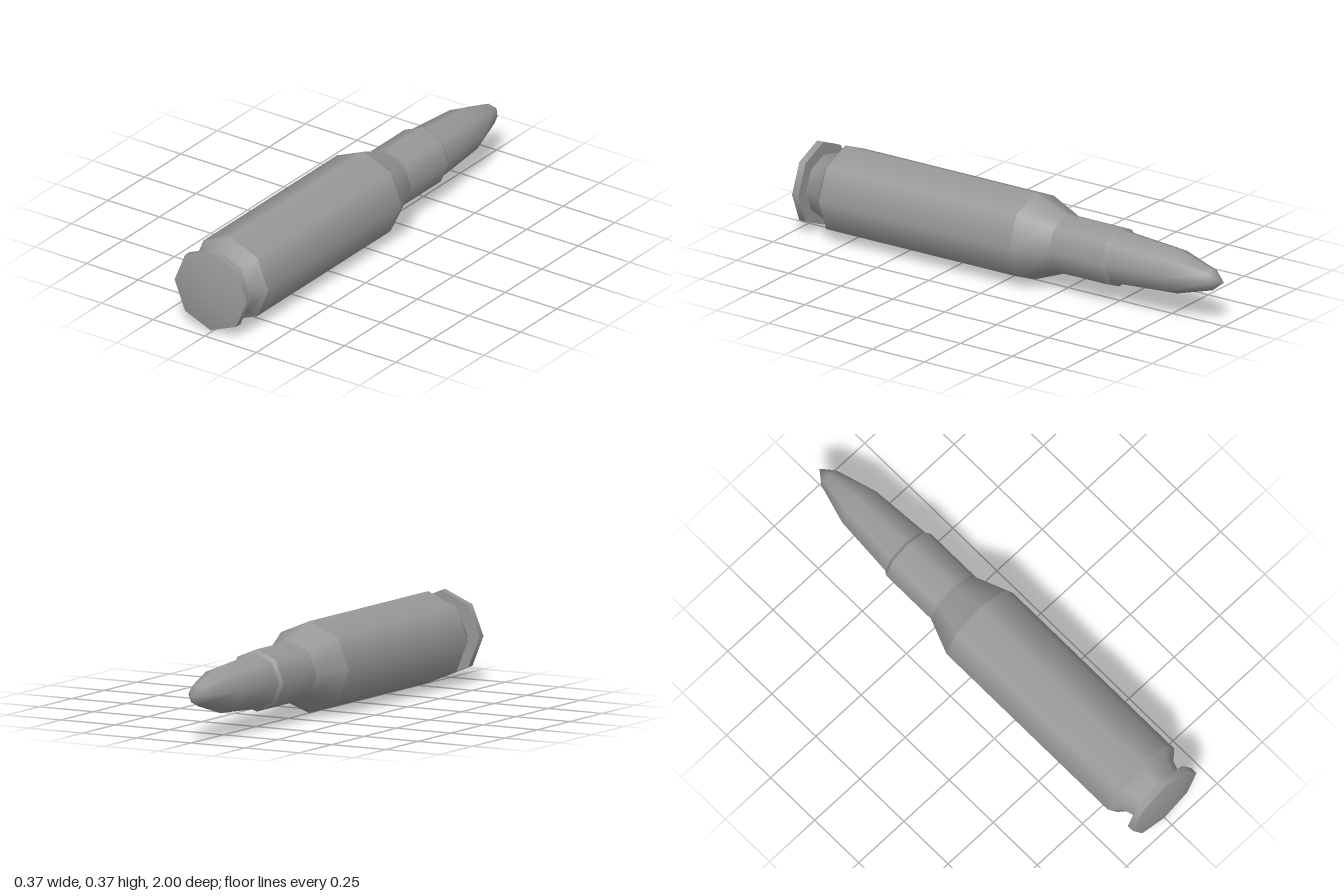
import * as THREE from 'three';

const SIDES = 8;
const RADIUS = 0.184;

// Eight-sided lathe lying along z; points on the axis get one shared normal
// so the pointed ends shade smoothly.
function lathe(band) {
  const profile = band.map(([r, z]) => new THREE.Vector2(r, -z));
  const geometry = new THREE.LatheGeometry(profile, SIDES);
  geometry.rotateX(-Math.PI / 2);
  const { position, normal } = geometry.attributes;
  for (let i = 0; i < position.count; i++) {
    if (Math.hypot(position.getX(i), position.getY(i)) < 1e-6) {
      normal.setXYZ(i, 0, 0, Math.sign(position.getZ(i)));
    }
  }
  return geometry;
}

export function createModel() {
  const group = new THREE.Group();
  const material = new THREE.MeshStandardMaterial({ color: 0x999999 });

  // Each part is a list of bands; a band is a run of [radius, z] points from
  // front to back, smooth within itself and sharp against its neighbours.
  const parts = {
    rim: [
      [[0, 1], [0.175, 0.96]],
      [[0.175, 0.96], [0.175, 0.93]],
      [[0.175, 0.93], [0.12, 0.93]],
    ],
    extractorGroove: [[[0.12, 0.93], [0.145, 0.86], [RADIUS, 0.825]]],
    caseBody: [[[RADIUS, 0.825], [RADIUS, -0.09]]],
    caseShoulder: [[[RADIUS, -0.09], [0.125, -0.24]]],
    caseNeck: [
      [[0.125, -0.24], [0.125, -0.495]],
      [[0.125, -0.495], [0.113, -0.51]],
    ],
    bulletTip: [[[0.113, -0.51], [0.094, -0.775], [0.044, -0.945], [0, -1]]],
  };

  for (const [name, bands] of Object.entries(parts)) {
    const part = new THREE.Group();
    part.name = name;
    bands.forEach((band, i) => {
      const mesh = new THREE.Mesh(lathe(band), material);
      mesh.name = `${name}Band${i + 1}`;
      part.add(mesh);
    });
    part.position.y = RADIUS;
    group.add(part);
  }
  return group;
}
